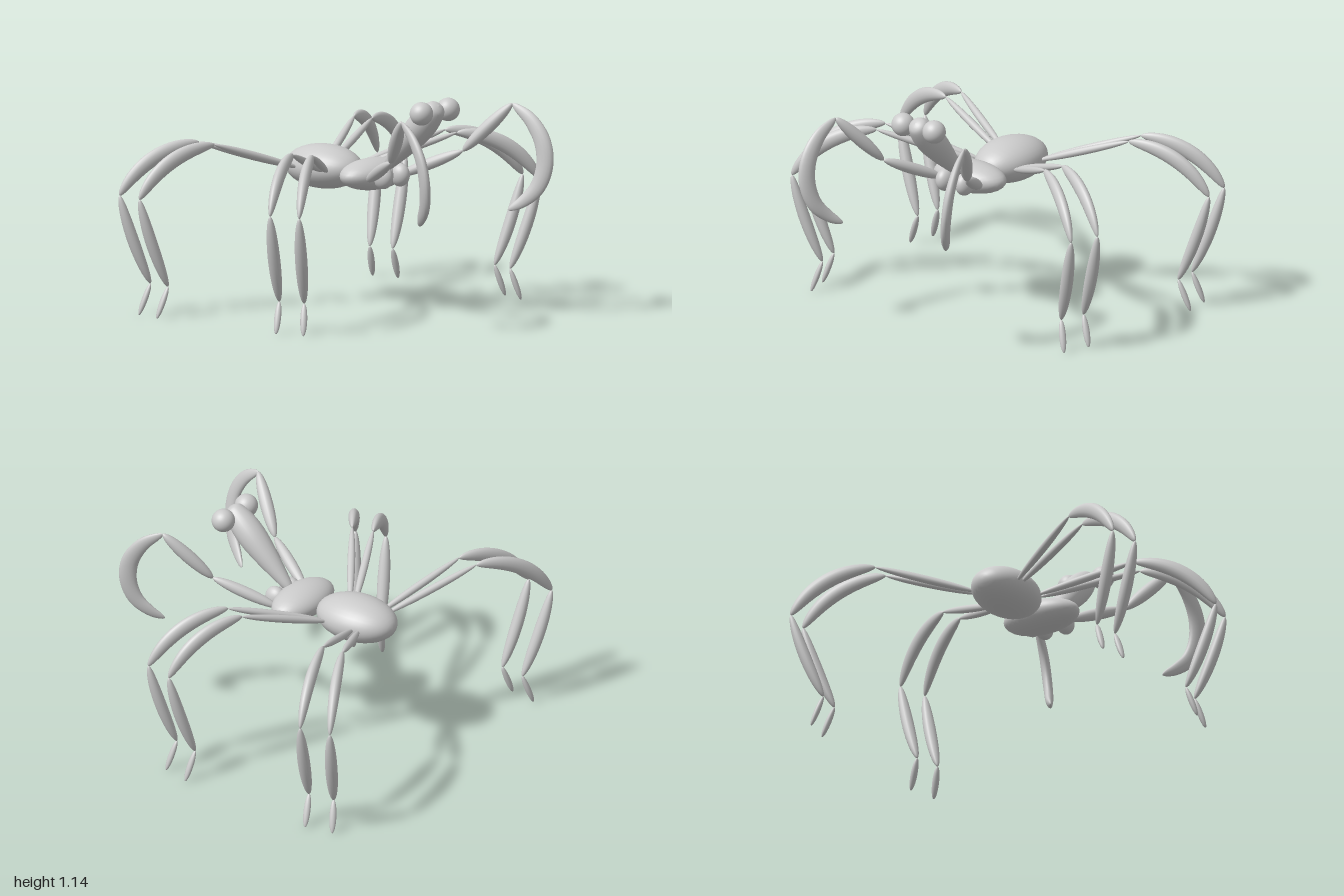
import * as THREE from 'three';

const material = new THREE.MeshStandardMaterial({ color: 0xcccccc });
const V = (x, y, z) => new THREE.Vector3(x, y, z);

function ellipsoid(name, center, radii) {
  const geo = new THREE.SphereGeometry(1, 32, 20);
  geo.rotateX(Math.PI / 2); // poles along z
  geo.scale(...radii);
  const mesh = new THREE.Mesh(geo, material);
  mesh.position.set(...center);
  mesh.name = name;
  return mesh;
}

// Limb segment: an ellipsoid stretched along a curve.
// rBend is the radius in the plane of the bend, rSide the radius across it.
function spindle(name, curve, rBend, rSide = rBend, rings = 28, sides = 16) {
  const a = curve.getPoint(0), m = curve.getPoint(0.5), e = curve.getPoint(1);
  const side = m.clone().sub(a).cross(e.clone().sub(m));
  if (side.length() < 1e-5) side.crossVectors(e.clone().sub(a), V(0, 1, 0));
  side.normalize();
  const pos = [], idx = [];
  for (let i = 0; i <= rings; i++) {
    const s = Math.PI * i / rings;
    const t = (1 - Math.cos(s)) / 2, r = Math.max(Math.sin(s), 1e-3);
    const p = curve.getPointAt(t), tan = curve.getTangentAt(t);
    const up = tan.clone().cross(side).normalize();
    const across = tan.clone().cross(up).normalize();
    for (let j = 0; j < sides; j++) {
      const th = 2 * Math.PI * j / sides;
      const v = p.clone()
        .addScaledVector(up, Math.cos(th) * r * rBend)
        .addScaledVector(across, Math.sin(th) * r * rSide);
      pos.push(v.x, v.y, v.z);
      if (i < rings) {
        const k = (j + 1) % sides, A = i * sides, B = A + sides;
        idx.push(A + j, A + k, B + j, A + k, B + k, B + j);
      }
    }
  }
  const geo = new THREE.BufferGeometry();
  geo.setAttribute('position', new THREE.Float32BufferAttribute(pos, 3));
  geo.setIndex(idx);
  geo.computeVertexNormals();
  const mesh = new THREE.Mesh(geo, material);
  mesh.name = name;
  return mesh;
}

const straight = (a, b) => new THREE.LineCurve3(a, b);

// Arc from a to b whose middle is pushed off the chord by the given offset
const arc = (a, b, offset) => new THREE.QuadraticBezierCurve3(
  a, a.clone().add(b).multiplyScalar(0.5).addScaledVector(offset, 2), b);

// Walking leg: root, hip end, knee, ankle and foot tip
function walkingLeg(name, s, joints) {
  const [root, hip, knee, ankle, foot] = joints.map(([x, y, z]) => V(s * x, y, z));
  const out = V(knee.x - hip.x, 0, knee.z - hip.z).normalize();
  const g = new THREE.Group();
  g.name = name;
  g.add(
    spindle('upperLeg', straight(root, hip), 0.02),
    spindle('archedLeg', arc(hip, knee, out.clone().multiplyScalar(0.034).setY(0.055)), 0.04, 0.028),
    spindle('lowerLeg', arc(knee, ankle, out.clone().multiplyScalar(0.012)), 0.03, 0.032),
    spindle('foot', straight(ankle, foot), 0.015, 0.018));
  return g;
}

// Raised grasping arm ending in a sickle claw
function graspingArm(name, s) {
  const P = (x, y, z) => V(s * x, y, z);
  const shoulder = P(0.12, 0.7, 0.1), elbow = P(0.27, 0.84, 0.4), wrist = P(0.415, 1.09, 0.61);
  const claw = new THREE.CatmullRomCurve3([
    wrist, P(0.443, 1.01, 0.715), P(0.455, 0.9, 0.785), P(0.448, 0.78, 0.803),
    P(0.42, 0.67, 0.775), P(0.38, 0.6, 0.715), P(0.335, 0.556, 0.655)]);
  const g = new THREE.Group();
  g.name = name;
  g.add(
    spindle('upperArm', straight(shoulder, elbow), 0.03),
    spindle('forearm', straight(elbow, wrist), 0.034),
    spindle('claw', claw, 0.046, 0.025, 40));
  return g;
}

// Club-shaped head stalk, wide at the top and leaning forward
function headStalk() {
  const base = V(0, 0.745, 0.105), tip = V(0, 1.113, 0.485);
  const axis = tip.clone().sub(base), len = axis.length();
  const profile = new THREE.SplineCurve([
    [0, 0], [0.022, 0.03], [0.042, 0.2], [0.062, 0.42], [0.074, 0.63],
    [0.07, 0.8], [0.052, 0.94], [0.03, 0.985], [0, 1],
  ].map(([r, t]) => new THREE.Vector2(r, t * len)));
  const pts = profile.getPoints(32);
  pts.forEach((p) => { p.x = Math.max(p.x, 0); });
  const mesh = new THREE.Mesh(new THREE.LatheGeometry(pts, 28), material);
  mesh.position.copy(base);
  mesh.quaternion.setFromUnitVectors(V(0, 1, 0), axis.normalize());
  mesh.name = 'headStalk';
  return mesh;
}

export function createModel() {
  const model = new THREE.Group();
  model.name = 'stalkHeadedArachnid';

  // Body and head
  model.add(
    ellipsoid('abdomen', [0, 0.718, -0.31], [0.158, 0.114, 0.228]),
    ellipsoid('thorax', [0, 0.715, 0.03], [0.215, 0.082, 0.122]),
    headStalk());

  // Joints of the left legs, front to back
  const legs = {
    FrontLeg: [[0.12, 0.715, -0.18], [0.54, 0.872, 0.11], [0.9, 0.62, 0.35], [0.77, 0.16, 0.265], [0.815, 0, 0.3]],
    SecondLeg: [[0.12, 0.715, -0.21], [0.57, 0.872, 0], [0.945, 0.62, 0.19], [0.805, 0.16, 0.125], [0.858, 0, 0.15]],
    ThirdLeg: [[0.12, 0.715, -0.37], [0.59, 0.872, -0.525], [0.995, 0.62, -0.67], [0.84, 0.16, -0.615], [0.903, 0, -0.635]],
    BackLeg: [[0.12, 0.715, -0.405], [0.58, 0.872, -0.64], [0.965, 0.62, -0.835], [0.82, 0.16, -0.755], [0.875, 0, -0.785]],
  };

  // Mirrored parts
  for (const [side, s] of [['left', 1], ['right', -1]]) {
    model.add(
      ellipsoid(side + 'Eye', [s * 0.1, 1.08, 0.457], [0.06, 0.06, 0.06]),
      ellipsoid(side + 'Jaw', [s * 0.063, 0.715, 0.155], [0.044, 0.06, 0.058]),
      graspingArm(side + 'GraspingArm', s));
    for (const [name, joints] of Object.entries(legs)) model.add(walkingLeg(side + name, s, joints));
  }
  return model;
}
